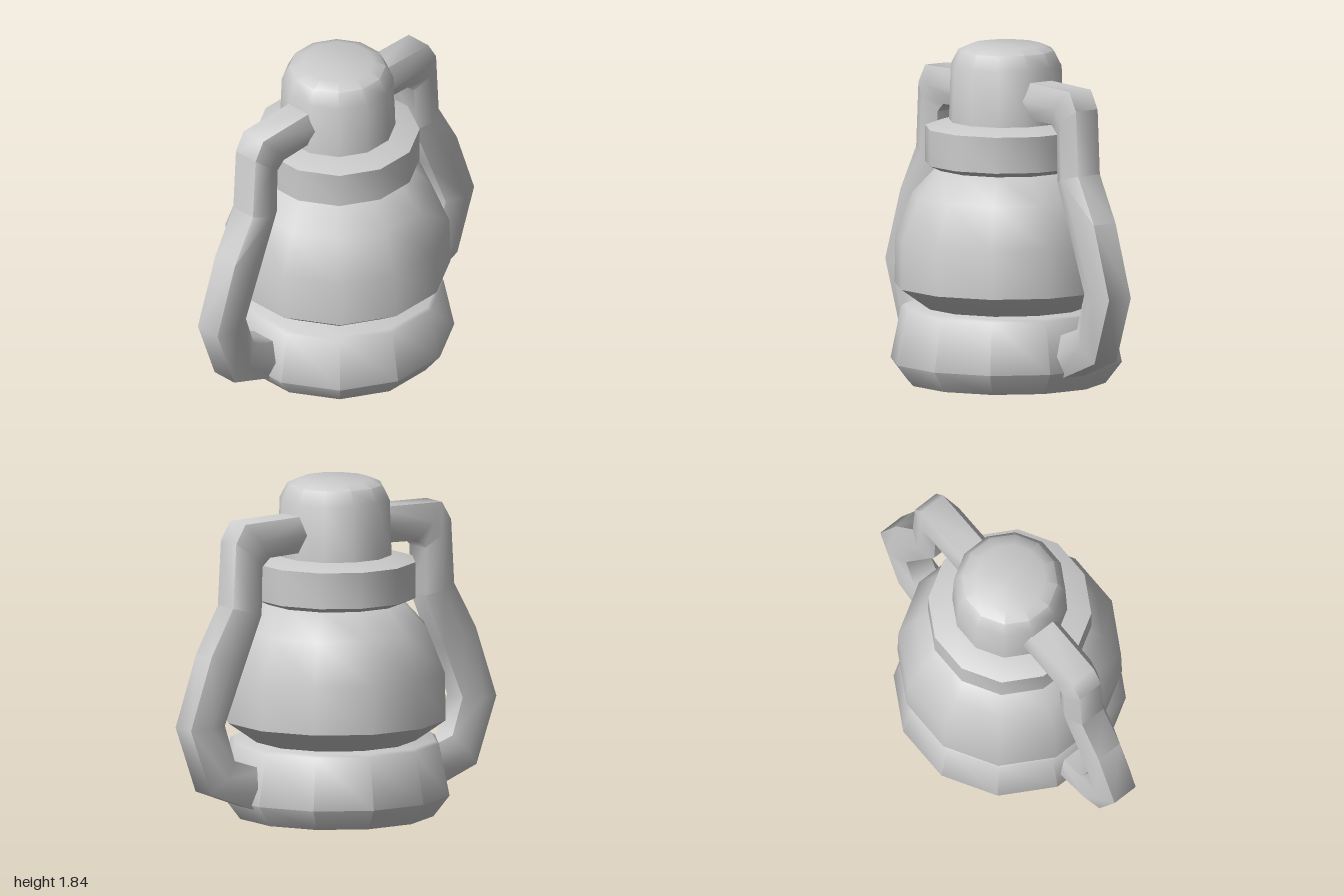
import * as THREE from 'three';
import { toCreasedNormals } from 'three/addons/utils/BufferGeometryUtils.js';

const SIDES = 12;
const material = new THREE.MeshStandardMaterial({ color: 0xcccccc });

function addMesh(group, name, geometry, crease) {
  const mesh = new THREE.Mesh(toCreasedNormals(geometry, crease), material);
  mesh.name = name;
  group.add(mesh);
}

// Twelve-sided turned part; radii are measured to the flat of a side.
function turned(profile) {
  const k = 1 / Math.cos(Math.PI / SIDES);
  const points = profile.map(([r, y]) => new THREE.Vector2(r * k, y));
  return new THREE.LatheGeometry(points, SIDES, Math.PI / SIDES);
}

// Handle stations from cap to base: [outerX, outerY, innerX, innerY]
const stations = [
  [0.20, 1.67, 0.20, 1.475],
  [0.64, 1.66, 0.48, 1.465],
  [0.70, 1.56, 0.53, 1.42],
  [0.72, 1.21, 0.535, 1.16],
  [0.86, 0.96, 0.655, 0.87],
  [0.995, 0.57, 0.775, 0.58],
  [0.865, 0.21, 0.71, 0.38],
  [0.50, 0.07, 0.50, 0.31],
];

// Hexagonal tube lofted through the stations; side is +1 or -1 in x.
function handle(side) {
  const flat = 0.073, wide = 0.115, zc = -0.012, n = 6;
  const section = [[0, flat], [0.5, wide], [1, flat], [1, -flat], [0.5, -wide], [0, -flat]];
  const positions = [], index = [];
  for (const [ox, oy, ix, iy] of stations) {
    for (const [t, z] of section) {
      positions.push(side * (ox + (ix - ox) * t), oy + (iy - oy) * t, zc + z);
    }
  }
  const tri = (a, b, c) => (side > 0 ? index.push(a, b, c) : index.push(a, c, b));
  for (let s = 0; s < stations.length - 1; s++) {
    for (let i = 0; i < n; i++) {
      const a = s * n + i, b = s * n + (i + 1) % n;
      tri(a, b, a + n);
      tri(b, b + n, a + n);
    }
  }
  // End caps
  const last = (stations.length - 1) * n;
  for (let i = 1; i < n - 1; i++) {
    tri(0, i + 1, i);
    tri(last, last + i, last + i + 1);
  }
  const geometry = new THREE.BufferGeometry();
  geometry.setAttribute('position', new THREE.Float32BufferAttribute(positions, 3));
  geometry.setIndex(index);
  return geometry;
}

export function createModel() {
  const group = new THREE.Group();
  group.name = 'lantern';

  addMesh(group, 'base', turned([
    [0, 0], [0.52, 0.015], [0.605, 0.13], [0.55, 0.41], [0.53, 0.425], [0, 0.425],
  ]), 0.9);
  addMesh(group, 'globe', turned([
    [0, 0.41], [0.42, 0.42], [0.585, 0.54], [0.58, 0.80], [0.49, 1.03], [0.36, 1.175], [0, 1.18],
  ]), 0.9);
  addMesh(group, 'collar', turned([
    [0, 1.17], [0.36, 1.17], [0.425, 1.20], [0.425, 1.395], [0.31, 1.43], [0, 1.43],
  ]), 0.9);
  addMesh(group, 'cap', turned([
    [0, 1.42], [0.30, 1.42], [0.29, 1.73], [0.25, 1.81], [0.185, 1.84], [0, 1.84],
  ]), 0.7);

  addMesh(group, 'leftHandle', handle(1), 1.15);
  addMesh(group, 'rightHandle', handle(-1), 1.15);
  return group;
}
